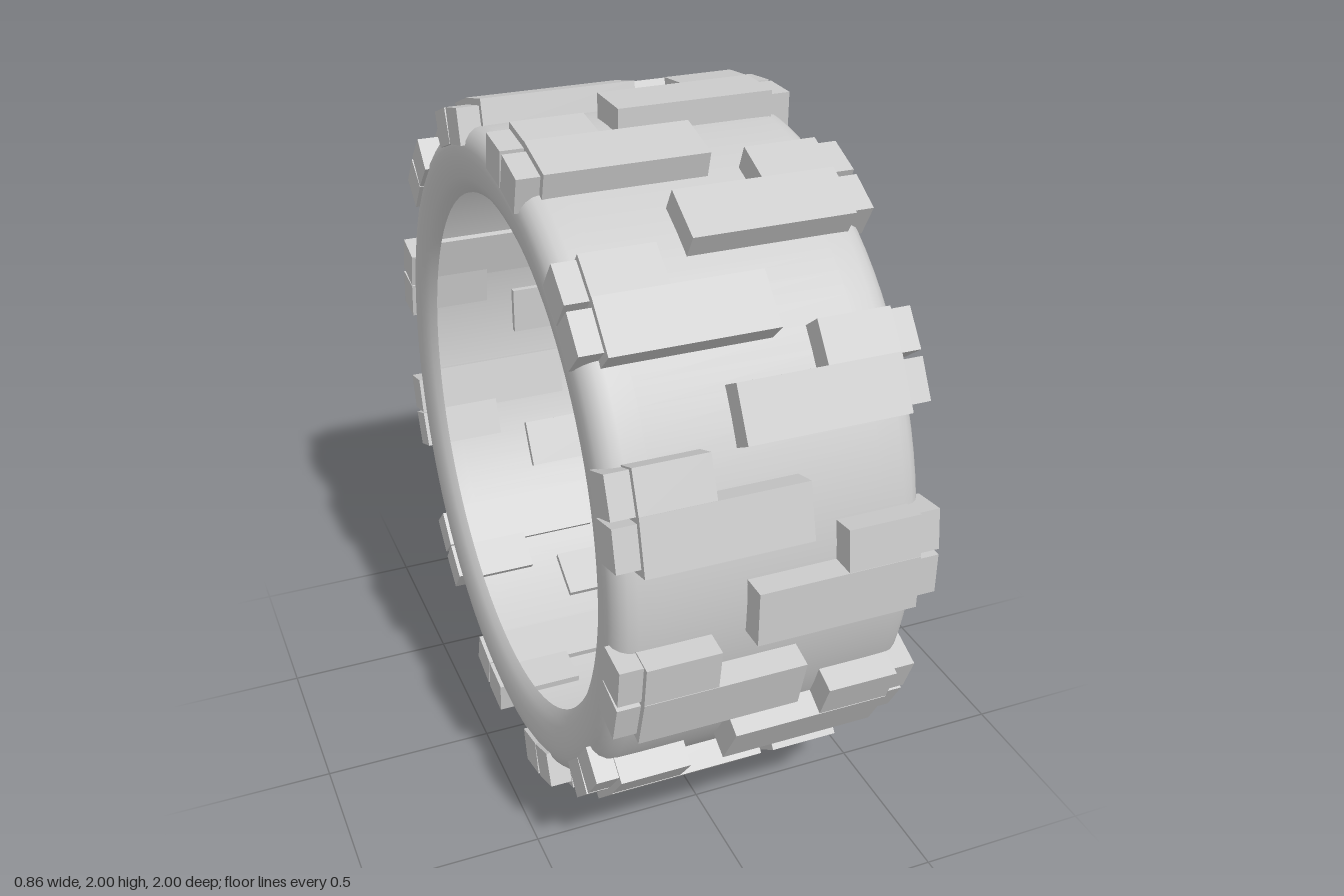
import * as THREE from 'three';

const STEP = Math.PI / 6; // twelve lugs per side
const HALF = Math.PI / 24; // offset of the short part of a lug
const material = new THREE.MeshStandardMaterial({ color: 0xcccccc });
const shellMaterial = new THREE.MeshStandardMaterial({ color: 0xcccccc, side: THREE.DoubleSide });

// Thin tyre shell: bead, bulged sidewall, rounded shoulder, flat tread, mirrored
function createCarcass() {
  const half = [[0.745, 0.385], [0.765, 0.402], [0.79, 0.412], [0.82, 0.419], [0.85, 0.422], [0.875, 0.42],
    [0.895, 0.414], [0.912, 0.402], [0.924, 0.385], [0.93, 0.36], [0.931, 0.3]];
  const profile = [
    ...half.map(([r, x]) => new THREE.Vector2(r, -x)),
    ...half.slice().reverse().map(([r, x]) => new THREE.Vector2(r, x)),
  ];
  const mesh = new THREE.Mesh(new THREE.LatheGeometry(profile, 96), shellMaterial);
  mesh.name = 'carcass';
  mesh.rotation.z = Math.PI / 2;
  return mesh;
}

// Block spanning x0..x1 and r0..r1, turned by an angle around the axle
function block(name, x0, x1, r0, r1, width, angle) {
  const geometry = new THREE.BoxGeometry(x1 - x0, r1 - r0, width);
  geometry.translate((x0 + x1) / 2, (r0 + r1) / 2, 0);
  const mesh = new THREE.Mesh(geometry, material);
  mesh.name = name;
  mesh.rotation.x = -angle;
  return mesh;
}

// L-shaped tread lug with two shoulder blocks; side is +1 or -1
function createLug(side, angle) {
  const lug = new THREE.Group();
  lug.name = side > 0 ? 'leftLug' : 'rightLug';
  const add = (name, inner, outer, r0, r1, width, turn) => {
    const [x0, x1] = side > 0 ? [inner, outer] : [-outer, -inner];
    lug.add(block(name, x0, x1, r0, r1, width, turn));
  };
  add('longTread', -0.075, 0.367, 0.908, 0.998, 0.152, 0);
  add('shortTread', 0.168, 0.367, 0.908, 0.998, 0.122, HALF);
  add('shoulderBlock', 0.367, 0.43, 0.88, 0.98, 0.112, 0);
  add('shoulderBlock', 0.367, 0.43, 0.88, 0.98, 0.112, HALF);
  lug.rotation.x = -angle;
  return lug;
}

export function createModel() {
  const tyre = new THREE.Group();
  tyre.name = 'tyre';
  tyre.add(createCarcass());
  // Lugs alternate between the two sides
  for (let i = 0; i < 12; i++) {
    tyre.add(createLug(1, i * STEP), createLug(-1, (i + 0.5) * STEP));
  }
  tyre.position.y = 1;
  const model = new THREE.Group();
  model.name = 'offRoadTyre';
  model.add(tyre);
  return model;
}
